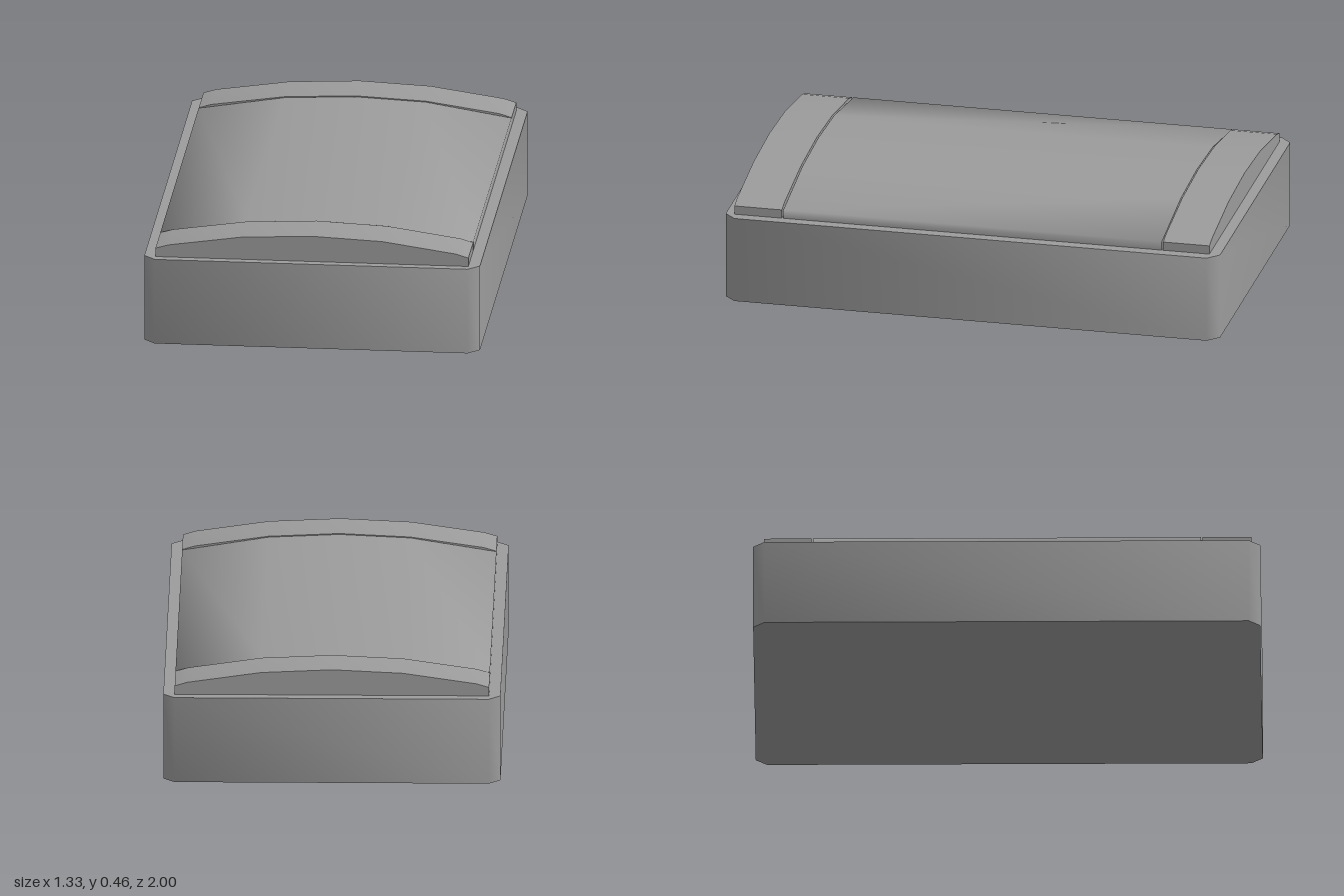
import * as THREE from 'three';
import { toCreasedNormals } from 'three/addons/utils/BufferGeometryUtils.js';

const grey = new THREE.MeshStandardMaterial({ color: 0x9c9c9c });

// Extrudes an outline and smooths only edges shallower than the crease angle
function prism(name, points, depth, crease) {
  const shape = new THREE.Shape(points.map(([x, y]) => new THREE.Vector2(x, y)));
  const geometry = new THREE.ExtrudeGeometry(shape, { depth, bevelEnabled: false });
  const mesh = new THREE.Mesh(toCreasedNormals(geometry, THREE.MathUtils.degToRad(crease)), grey);
  mesh.name = name;
  return mesh;
}

// Closed arched section from the right half of its top edge, centre outwards
function archProfile(half, base) {
  const edge = half[half.length - 1][0];
  const left = half.slice(1).map(([x, y]) => [-x, y]);
  return [[-edge, base], [edge, base], ...half.slice().reverse(), ...left];
}

export function createModel() {
  const model = new THREE.Group();

  // Box body with chamfered upright corners
  const w = 0.665, l = 1, c = 0.045, height = 0.35;
  const body = prism('body', [
    [w - c, -l], [w, -l + c], [w, l - c], [w - c, l],
    [-w + c, l], [-w, l - c], [-w, -l + c], [-w + c, -l],
  ], height, 60);
  body.rotation.x = -Math.PI / 2;
  model.add(body);

  // Arched lid: crisp end caps and a panel with softened long edges, split by fine seams
  const endHalf = [[0, 0.455], [0.28, 0.442], [0.57, 0.4], [0.62, 0.385]];
  const panelHalf = [[0, 0.453], [0.28, 0.44], [0.62, 0.385]];
  const parts = [
    ['frontLidCap', endHalf, 0.773, 0.965, 60],
    ['lidPanel', panelHalf, -0.764, 0.767, 85],
    ['backLidCap', endHalf, -0.957, -0.77, 60],
  ];
  for (const [name, half, back, front, crease] of parts) {
    const part = prism(name, archProfile(half, height), front - back, crease);
    part.position.z = back;
    model.add(part);
  }
  return model;
}
